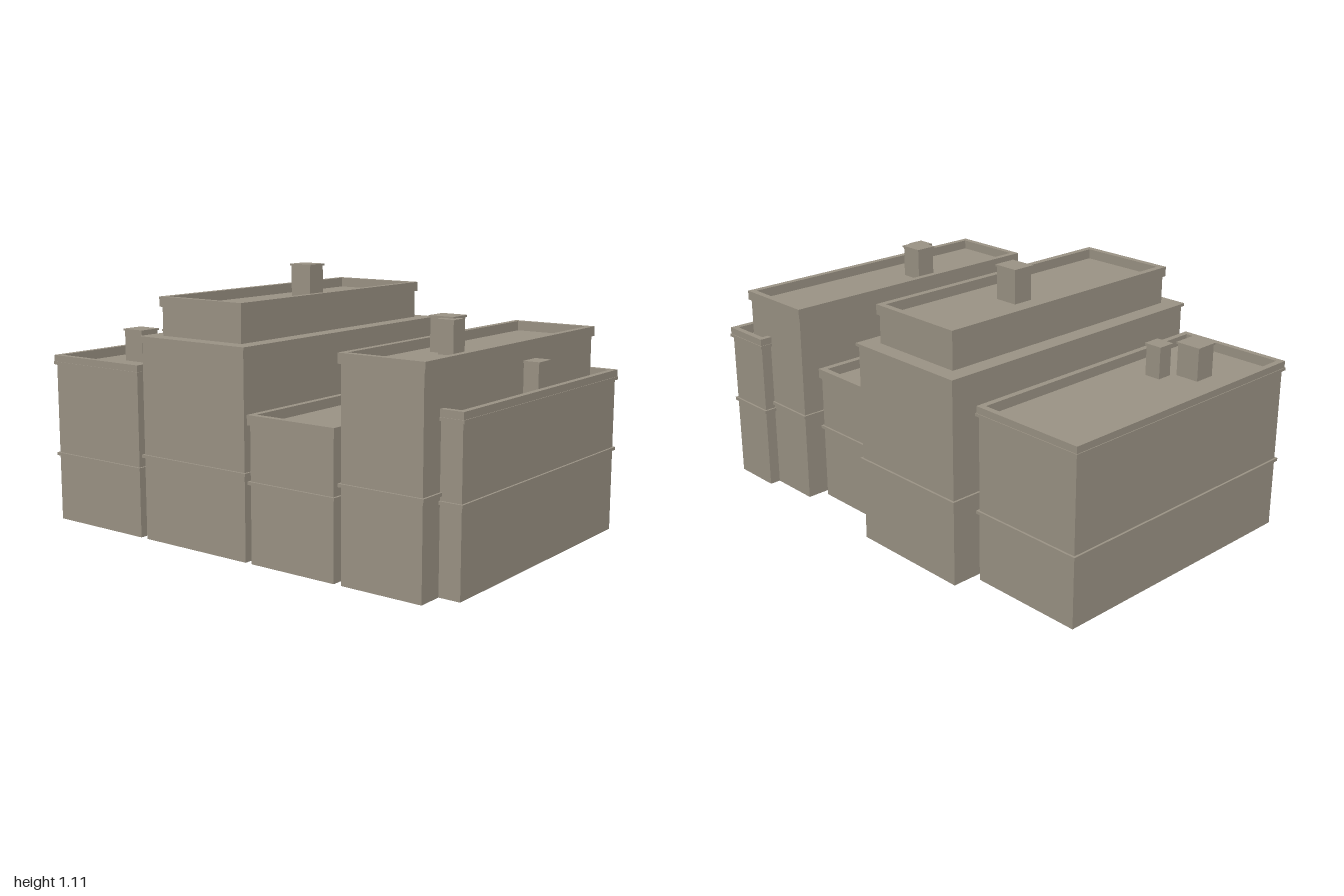
import * as THREE from 'three';

const stone = new THREE.MeshStandardMaterial({ color: 0x9b9385 });
stone.name = 'stone';

// Box given by its bounds: r = [x0, x1, z0, z1], grown sideways by g
function block(name, r, y0, y1, g = 0) {
  const [x0, x1, z0, z1] = r;
  const geo = new THREE.BoxGeometry(x1 - x0 + 2 * g, y1 - y0, z1 - z0 + 2 * g);
  const mesh = new THREE.Mesh(geo, stone);
  mesh.name = name;
  mesh.position.set((x0 + x1) / 2, (y0 + y1) / 2, (z0 + z1) / 2);
  return mesh;
}

// Low wall around a flat roof: a rectangle with a rectangular hole
function parapet(r, y0, y1, g = 0.009, wall = 0.027) {
  const [x0, x1, z0, z1] = r;
  const rect = (target, d) => {
    target.moveTo(x0 - d, -z1 - d);
    target.lineTo(x1 + d, -z1 - d);
    target.lineTo(x1 + d, -z0 + d);
    target.lineTo(x0 - d, -z0 + d);
    target.closePath();
    return target;
  };
  const shape = rect(new THREE.Shape(), g);
  shape.holes.push(rect(new THREE.Path(), g - wall));
  const geo = new THREE.ExtrudeGeometry(shape, { depth: y1 - y0, bevelEnabled: false });
  geo.rotateX(-Math.PI / 2);
  const mesh = new THREE.Mesh(geo, stone);
  mesh.name = 'parapet';
  mesh.position.y = y0;
  return mesh;
}

// Chimney with a thin overhanging cap
function chimney(r, y0, y1) {
  const group = new THREE.Group();
  group.name = 'chimney';
  group.add(block('chimneyStack', r, y0, y1 - 0.008));
  group.add(block('chimneyCap', r, y1 - 0.008, y1, 0.005));
  return group;
}

const buildings = [
  { name: 'farRightBuilding', base: [-0.99, -0.5, -0.555, 0.652], roof: 0.685, top: 0.725, band: 0.285, cornice: 0.697,
    chimneys: [[[-0.835, -0.732, 0.303, 0.397], 0.825], [[-0.715, -0.645, 0.215, 0.282], 0.82]] },
  { name: 'tallBuilding', base: [-0.466, 0.076, -0.655, 0.652], ledge: 0.847, band: 0.345,
    upper: [-0.404, 0.015, -0.596, 0.594], roof: 0.965, top: 1.006,
    chimneys: [[[-0.256, -0.154, -0.133, -0.045], 1.108]] },
  { name: 'lowBuilding', base: [0.107, 0.507, -0.531, 0.652], roof: 0.55, top: 0.59, band: 0.317,
    chimneys: [[[0.267, 0.368, -0.088, 0.0], 0.692]] },
  { name: 'narrowBuilding', base: [0.54, 0.895, -0.606, 0.652], roof: 0.826, top: 0.866, band: 0.374,
    chimneys: [[[0.625, 0.725, 0.118, 0.205], 0.966], [[0.684, 0.752, 0.182, 0.242], 0.96]] },
  { name: 'farLeftBuilding', base: [0.768, 0.986, -0.653, 0.543], roof: 0.645, top: 0.687, band: 0.344, cornice: 0.658,
    chimneys: [[[0.86, 0.96, -0.122, -0.037], 0.788]] },
];

export function createModel() {
  const model = new THREE.Group();
  model.name = 'cityBlock';
  for (const b of buildings) {
    const group = new THREE.Group();
    group.name = b.name;
    // Walls, with a set-back storey on the tall building
    group.add(block('walls', b.base, 0, b.ledge ? b.ledge - 0.012 : b.roof));
    if (b.upper) {
      group.add(block('ledge', b.base, b.ledge - 0.012, b.ledge, 0.009));
      group.add(block('upperStorey', b.upper, b.ledge, b.roof));
    }
    // Moulding around the walls
    group.add(block('stringCourse', b.base, b.band, b.band + 0.013, 0.009));
    // Roof edge
    const r = b.upper || b.base;
    if (b.cornice) {
      group.add(parapet(r, b.roof, b.cornice, 0.01, 0.028));
      group.add(parapet(r, b.cornice, b.top, 0.007, 0.025));
    } else group.add(parapet(r, b.roof, b.top));
    for (const [bounds, top] of b.chimneys) group.add(chimney(bounds, b.roof, top));
    model.add(group);
  }
  return model;
}
